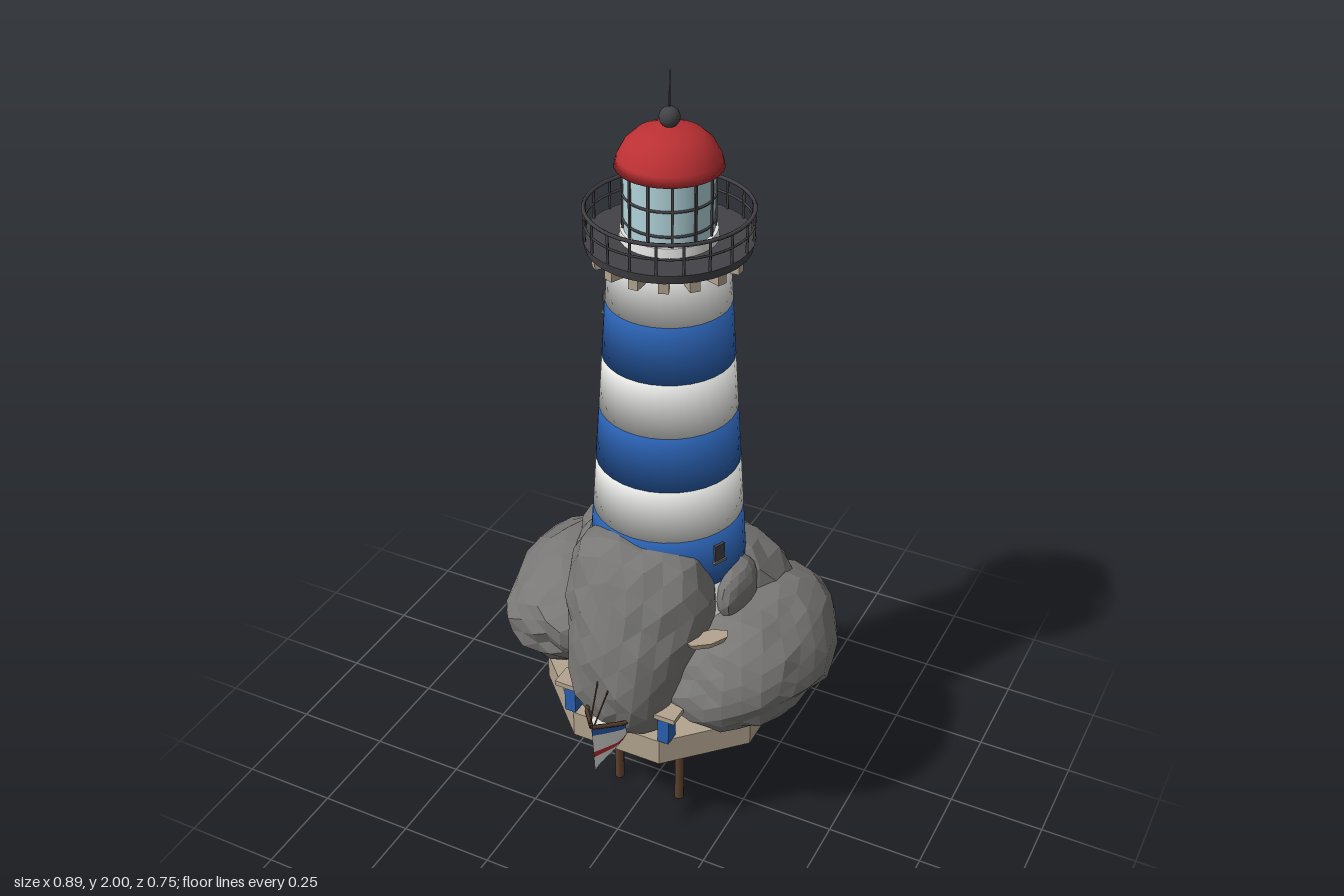
import * as THREE from 'three';
import { ParametricGeometry } from 'three/addons/geometries/ParametricGeometry.js';

const mat = (name, color, side = THREE.FrontSide) => {
  const m = new THREE.MeshStandardMaterial({ color, side });
  m.name = name;
  return m;
};

export function createModel() {
  const M = {
    rock: mat('rock grey', 0x797876),
    white: mat('white paint', 0xe6e6e4, THREE.DoubleSide),
    blue: mat('blue paint', 0x2a60b0, THREE.DoubleSide),
    red: mat('red paint', 0xbb3033, THREE.DoubleSide),
    iron: mat('dark iron', 0x434347),
    stone: mat('beige stone', 0xb3a48f),
    wood: mat('brown wood', 0x5b402c, THREE.DoubleSide),
    glass: mat('pale glass', 0xb0d4da),
  };
  const model = new THREE.Group();
  const AX = -0.045; // z of the tower axis
  const tower = new THREE.Group();
  tower.name = 'tower';
  tower.position.z = AX;
  model.add(tower);

  const add = (parent, name, geo, material, x = 0, y = 0, z = 0) => {
    const m = new THREE.Mesh(geo, material);
    m.name = name;
    m.position.set(x, y, z);
    parent.add(m);
    return m;
  };
  const lathe = (pts, n = 32) => new THREE.LatheGeometry(pts.map(p => new THREE.Vector2(...p)), n);
  const box = (w, h, d) => new THREE.BoxGeometry(w, h, d);
  const rod = (parent, name, a, b, r, material) => {
    const A = new THREE.Vector3(...a), B = new THREE.Vector3(...b);
    const m = add(parent, name, new THREE.CylinderGeometry(r, r, A.distanceTo(B), 6), material);
    m.position.copy(A).lerp(B, 0.5);
    m.quaternion.setFromUnitVectors(new THREE.Vector3(0, 1, 0), B.sub(A).normalize());
    return m;
  };
  // repeat something around the tower axis
  const around = (n, fn) => {
    for (let i = 0; i < n; i++) fn((i / n) * Math.PI * 2);
  };

  // striped tower, each band a closed soft-edged drum
  const radius = y => 0.196 - (y - 0.75) * 0.067;
  const levels = [0.36, 0.735, 0.88, 1.02, 1.165, 1.305, 1.45, 1.585];
  for (let i = 0; i < levels.length - 1; i++) {
    const [a, b] = [levels[i], levels[i + 1]];
    add(tower, i % 2 ? 'blueBand' : 'whiteBand',
      lathe([[0, a], [radius(a), a], [radius(b), b], [0, b]]), i % 2 ? M.blue : M.white);
  }

  // small windows winding up the tower
  [[0.92, 0.4, 0.825], [0.7, -0.7, 1.02], [-0.72, -0.68, 1.22], [-0.98, 0.2, 1.42]].forEach(([dx, dz, y]) => {
    const w = new THREE.Group();
    w.name = 'towerWindow';
    const r = radius(y);
    w.position.set(dx * r, y, dz * r);
    w.rotation.y = Math.atan2(dx, dz);
    add(w, 'windowPane', box(0.03, 0.045, 0.009), M.iron);
    add(w, 'windowSill', box(0.036, 0.007, 0.016), M.rock, 0, -0.025, 0);
    tower.add(w);
  });

  // gallery with brackets and railing
  add(tower, 'galleryFloor', new THREE.CylinderGeometry(0.197, 0.192, 0.022, 32), M.iron, 0, 1.596, 0);
  around(16, a => {
    const b = add(tower, 'galleryBracket', box(0.024, 0.032, 0.05), M.stone,
      Math.sin(a) * 0.155, 1.57, Math.cos(a) * 0.155);
    b.rotation.y = a;
  });
  around(20, a => add(tower, 'railPost', new THREE.CylinderGeometry(0.0035, 0.0035, 0.075, 5), M.iron,
    Math.sin(a) * 0.193, 1.642, Math.cos(a) * 0.193));
  [[1.68, 0.005], [1.645, 0.003]].forEach(([y, t]) => {
    add(tower, 'railRing', new THREE.TorusGeometry(0.193, t, 5, 40), M.iron, 0, y, 0).rotation.x = Math.PI / 2;
  });

  // lantern room
  add(tower, 'lanternBase', new THREE.CylinderGeometry(0.112, 0.115, 0.025, 32), M.white, 0, 1.617, 0);
  add(tower, 'lanternGlass', new THREE.CylinderGeometry(0.104, 0.104, 0.155, 32), M.glass, 0, 1.705, 0);
  around(12, a => add(tower, 'lanternMullion', box(0.006, 0.155, 0.006), M.iron,
    Math.sin(a) * 0.105, 1.705, Math.cos(a) * 0.105).rotation.y = a);
  [1.655, 1.715, 1.776].forEach(y =>
    add(tower, 'lanternBar', new THREE.TorusGeometry(0.105, 0.0035, 5, 32), M.iron, 0, y, 0).rotation.x = Math.PI / 2);

  // dome, ball and spike
  add(tower, 'dome', lathe([[0, 1.78], [0.124, 1.78], [0.118, 1.803], [0.102, 1.833],
    [0.077, 1.856], [0.042, 1.87], [0, 1.875]]), M.red);
  add(tower, 'domeBall', new THREE.SphereGeometry(0.024, 16, 12), M.iron, 0, 1.893, 0);
  add(tower, 'spike', new THREE.CylinderGeometry(0.002, 0.002, 0.09, 6), M.iron, 0, 1.955, 0);

  // faceted boulders: rounded boxes roughened by layered waves
  const rock = (name, c, r, { taper = 0, lean = 0, seed = 0, detail = 4, p = 2.2 } = {}) => {
    const geo = new THREE.IcosahedronGeometry(1, detail);
    const pos = geo.attributes.position;
    for (let i = 0; i < pos.count; i++) {
      const x = pos.getX(i), y = pos.getY(i), z = pos.getZ(i);
      const s = (Math.abs(x) ** p + Math.abs(y) ** p + Math.abs(z) ** p) ** (-1 / p);
      const n = s * (0.98 + 0.035 * Math.sin(4 * x + 3 * y + seed) + 0.03 * Math.sin(5 * z - 4 * y + seed * 2)
        + 0.025 * Math.sin(11 * x + 9 * z + seed) * Math.sin(10 * y + seed)
        + 0.018 * Math.sin(37 * x + 29 * y + 41 * z + seed));
      const w = 1 + taper * y;
      pos.setXYZ(i, x * n * r[0] * w, y * n * r[1], z * n * r[2] + lean * y * r[1]);
    }
    geo.computeVertexNormals();
    return add(model, name, geo, M.rock, ...c);
  };
  rock('frontRock', [0, 0.6, 0.105], [0.182, 0.285, 0.197], { taper: 0.24, lean: -0.14, seed: 1, p: 2.5 });
  rock('backRock', [-0.02, 0.555, -0.165], [0.31, 0.235, 0.2], { lean: 0.12, seed: 2.3 });
  rock('leftRock', [0.225, 0.495, -0.06], [0.21, 0.168, 0.275], { seed: 4 });
  rock('rightRock', [-0.235, 0.505, -0.08], [0.2, 0.168, 0.268], { seed: 5.2 });
  rock('lowRightRock', [-0.33, 0.42, -0.08], [0.11, 0.085, 0.16], { seed: 7, detail: 3 });
  for (const s of [-1, 1]) rock('smallRock', [s * 0.198, 0.685, -0.03], [0.045, 0.075, 0.085], { seed: s, detail: 2 });

  // stone ledges on the rocks
  [[-0.15, 0.637, 0.165, 0.85], [0.2, 0.64, 0.145, -0.85], [0.1, 0.455, -0.325, 0.1]].forEach(([x, y, z, a]) => {
    const l = add(model, 'stoneLedge', new THREE.CylinderGeometry(0.06, 0.05, 0.016, 7), M.stone, x, y, z);
    l.scale.z = 0.45;
    l.rotation.y = -a;
  });

  // eight-sided platform with a slot below
  const deck = new THREE.CylinderGeometry(0.319, 0.319, 0.075, 8, 1, false, Math.PI / 8).toNonIndexed();
  deck.computeVertexNormals();
  add(model, 'platform', deck, M.stone, 0, 0.3225, AX);
  add(model, 'platformSlot', box(0.09, 0.004, 0.42), M.white, 0.03, 0.285, -0.115);

  // stilts and brace
  for (const x of [-0.09, 0.09]) for (const z of [-0.14, 0.065]) {
    add(model, 'stilt', new THREE.CylinderGeometry(0.013, 0.013, 0.29, 8), M.wood, x, 0.145, z);
  }
  rod(model, 'stiltBrace', [-0.09, 0.285, 0.065], [0.09, 0.24, 0.065], 0.005, M.wood);

  // blue doors with stone lintels either side of the boat
  for (const s of [-1, 1]) {
    add(model, 'blueDoor', box(0.03, 0.07, 0.04), M.blue, s * 0.132, 0.395, 0.228);
    add(model, 'doorLintel', box(0.066, 0.014, 0.06), M.stone, s * 0.135, 0.447, 0.228);
  }

  // boat: bands of the hull between two heights, u runs from stern to bow
  const boat = new THREE.Group();
  boat.name = 'boat';
  model.add(boat);
  const hull = (side, u, h, out) => {
    const keel = 0.295 + 0.012 * u * u, rail = 0.425 + 0.035 * u * u;
    const w = Math.min(0.058, 0.135 * (1 - u));
    out.set(side * w * h ** 0.7, keel + (rail - keel) * h, 0.19 + u * (0.172 + 0.012 * h));
  };
  const bands = [['hullBottom', 0, 0.3, M.white], ['redStripe', 0.3, 0.42, M.red],
    ['hullSide', 0.42, 0.8, M.white], ['blueStripe', 0.8, 1, M.blue]];
  for (const side of [-1, 1]) {
    for (const [name, lo, hi, m] of bands) {
      add(boat, name, new ParametricGeometry((u, v, t) => hull(side, u, lo + (hi - lo) * v, t), 10, 3), m);
    }
    const rim = [0, 0.25, 0.5, 0.6, 0.75, 0.9, 1].map(u => {
      const v = new THREE.Vector3();
      hull(side, u, 1, v);
      return v;
    });
    add(boat, 'gunwale', new THREE.TubeGeometry(new THREE.CatmullRomCurve3(rim), 16, 0.006, 5), M.wood);
    rod(boat, 'mooringRope', [side * 0.006, 0.465, 0.37], [side * 0.02, 0.57, 0.29], 0.002, M.wood);
  }
  add(boat, 'boatFloor', new ParametricGeometry((u, v, t) => {
    hull(1, u, 0.75, t);
    t.x *= 2 * v - 1;
  }, 10, 2), M.white);

  return model;
}
